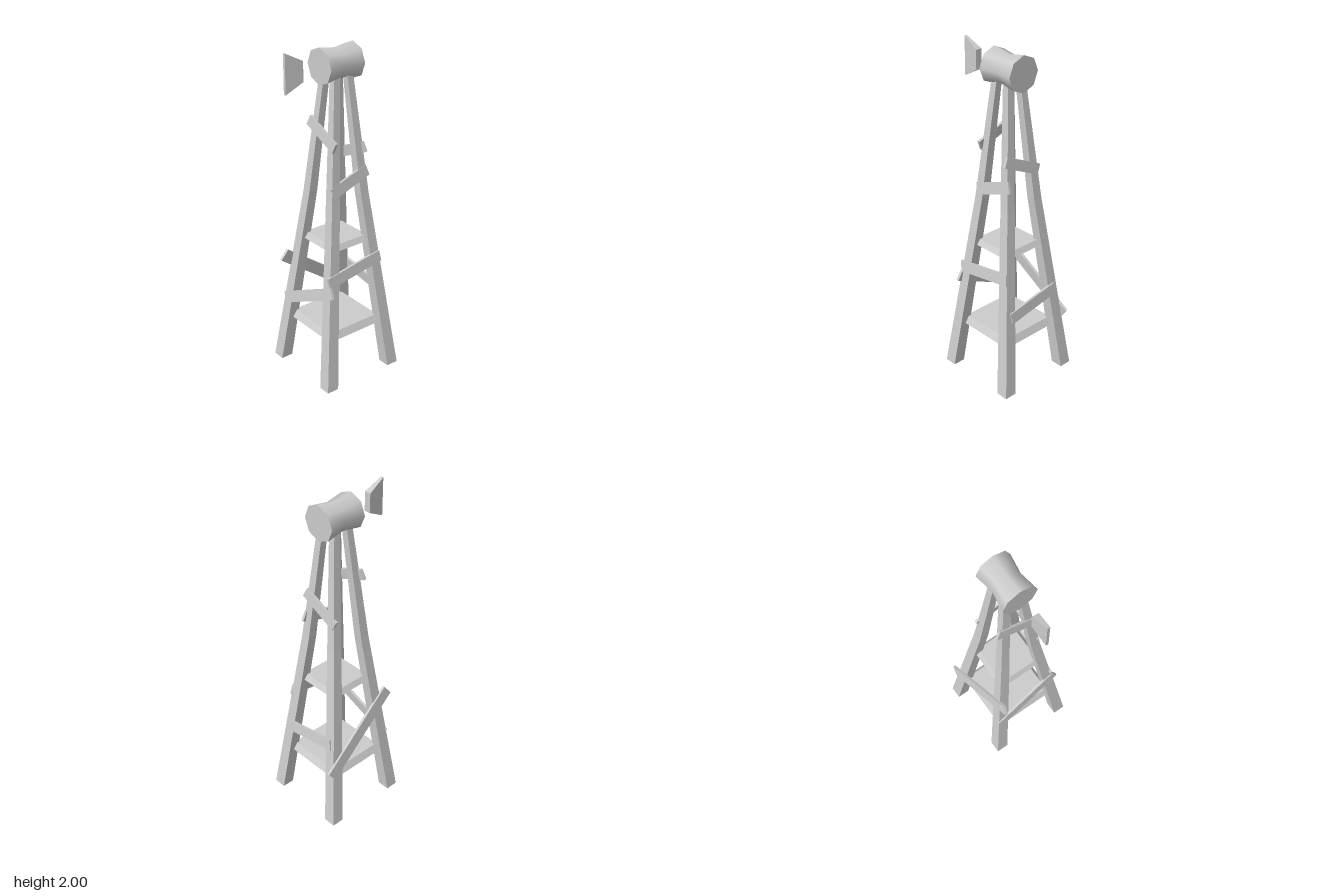
import * as THREE from 'three';

const CX = 0.035; // tower axis
const mat = new THREE.MeshStandardMaterial({ color: 0xcccccc, flatShading: true });
const smoothMat = new THREE.MeshStandardMaterial({ color: 0xcccccc });

// Solid through rectangular sections [y, centreX, centreZ, halfX, halfZ], bottom to top
function loft(sections) {
  const pos = [], idx = [];
  for (const [y, x, z, hx, hz] of sections) {
    pos.push(x - hx, y, z + hz, x + hx, y, z + hz, x + hx, y, z - hz, x - hx, y, z - hz);
  }
  for (let s = 0; s < sections.length - 1; s++) {
    for (let i = 0; i < 4; i++) {
      const a = s * 4 + i, b = s * 4 + (i + 1) % 4;
      idx.push(a, b, b + 4, a, b + 4, a + 4);
    }
  }
  const t = (sections.length - 1) * 4;
  idx.push(0, 2, 1, 0, 3, 2, t, t + 1, t + 2, t, t + 2, t + 3);
  const indexed = new THREE.BufferGeometry();
  indexed.setAttribute('position', new THREE.Float32BufferAttribute(pos, 3));
  indexed.setIndex(idx);
  const g = indexed.toNonIndexed();
  g.computeVertexNormals();
  return g;
}

// Flat board between two points, its face turned towards the outward direction
function plank(name, from, to, outward, width = 0.068) {
  const a = new THREE.Vector3(...from), b = new THREE.Vector3(...to);
  const dir = b.clone().sub(a);
  const length = dir.length();
  dir.normalize();
  const n = new THREE.Vector3(...outward);
  n.addScaledVector(dir, -n.dot(dir)).normalize();
  const mesh = new THREE.Mesh(new THREE.BoxGeometry(length, width, 0.016), mat);
  mesh.quaternion.setFromRotationMatrix(
    new THREE.Matrix4().makeBasis(dir, n.clone().cross(dir), n));
  mesh.position.copy(a).add(b).multiplyScalar(0.5);
  mesh.name = name;
  return mesh;
}

export function createModel() {
  const group = new THREE.Group();
  group.name = 'windmillTower';
  const add = (name, geometry, material = mat) => {
    const mesh = new THREE.Mesh(geometry, material);
    mesh.name = name;
    group.add(mesh);
    return mesh;
  };

  // Four tapered legs with a bend above the upper platform
  for (const sx of [-1, 1]) {
    for (const sz of [-1, 1]) {
      const section = (y, offset, half) => [y, CX + sx * offset, sz * offset, half, half];
      add(`${sz > 0 ? 'front' : 'back'}${sx > 0 ? 'Left' : 'Right'}Leg`, loft([
        section(0, 0.232, 0.038),
        section(1.14, 0.104, 0.028),
        section(1.84, 0.044, 0.02),
      ]));
    }
  }

  // Platforms with sloping edges
  add('lowerPlatform', loft([[0.29, CX, 0, 0.2, 0.2], [0.333, CX, 0, 0.176, 0.176]]));
  add('upperPlatform', loft([[0.838, CX, 0, 0.146, 0.146], [0.87, CX, 0, 0.126, 0.126]]));

  // Crooked boards nailed across the legs
  const lean = 0.12;
  group.add(
    plank('frontLowerPlank', [-0.163, 0.677, 0.186], [0.217, 0.738, 0.182], [0, lean, 1]),
    plank('frontUpperPlank', [-0.085, 1.19, 0.121], [0.165, 1.275, 0.114], [0, lean, 1]),
    plank('backPlank', [-0.208, 0.726, -0.184], [0.283, 0.365, -0.232], [0, lean, -1], 0.075),
    plank('leftLowerPlank', [0.246, 0.492, 0.176], [0.24, 0.552, -0.18], [1, lean, 0]),
    plank('leftUpperPlank', [0.14, 1.42, 0.122], [0.148, 1.312, -0.12], [1, lean, 0], 0.062),
    plank('rightLowerPlank', [-0.158, 0.622, 0.212], [-0.184, 0.42, -0.206], [-1, lean, 0]),
    plank('rightUpperPlank', [-0.068, 1.455, 0.12], [-0.058, 1.555, -0.122], [-1, lean, 0], 0.062),
  );

  // Eight-sided hub with a narrowed waist
  const hubGeo = new THREE.CylinderGeometry(0.104, 0.104, 0.23, 8, 2);
  const p = hubGeo.attributes.position;
  for (let i = 0; i < p.count; i++) {
    if (Math.abs(p.getY(i)) < 0.01) p.setXYZ(i, p.getX(i) * 0.82, 0, p.getZ(i) * 0.82);
  }
  const hub = add('hub', hubGeo, smoothMat);
  hub.rotation.z = Math.PI / 2;
  hub.position.set(CX, 1.888, 0);

  // Detached tail vane, taller and thinner at its outer end
  const vane = add('tailVane', loft([[0, 0, 0, 0.057, 0.02], [0.107, 0, 0, 0.112, 0.008]]));
  vane.rotation.z = Math.PI / 2;
  vane.position.set(-0.2, 1.888, 0);

  return group;
}
